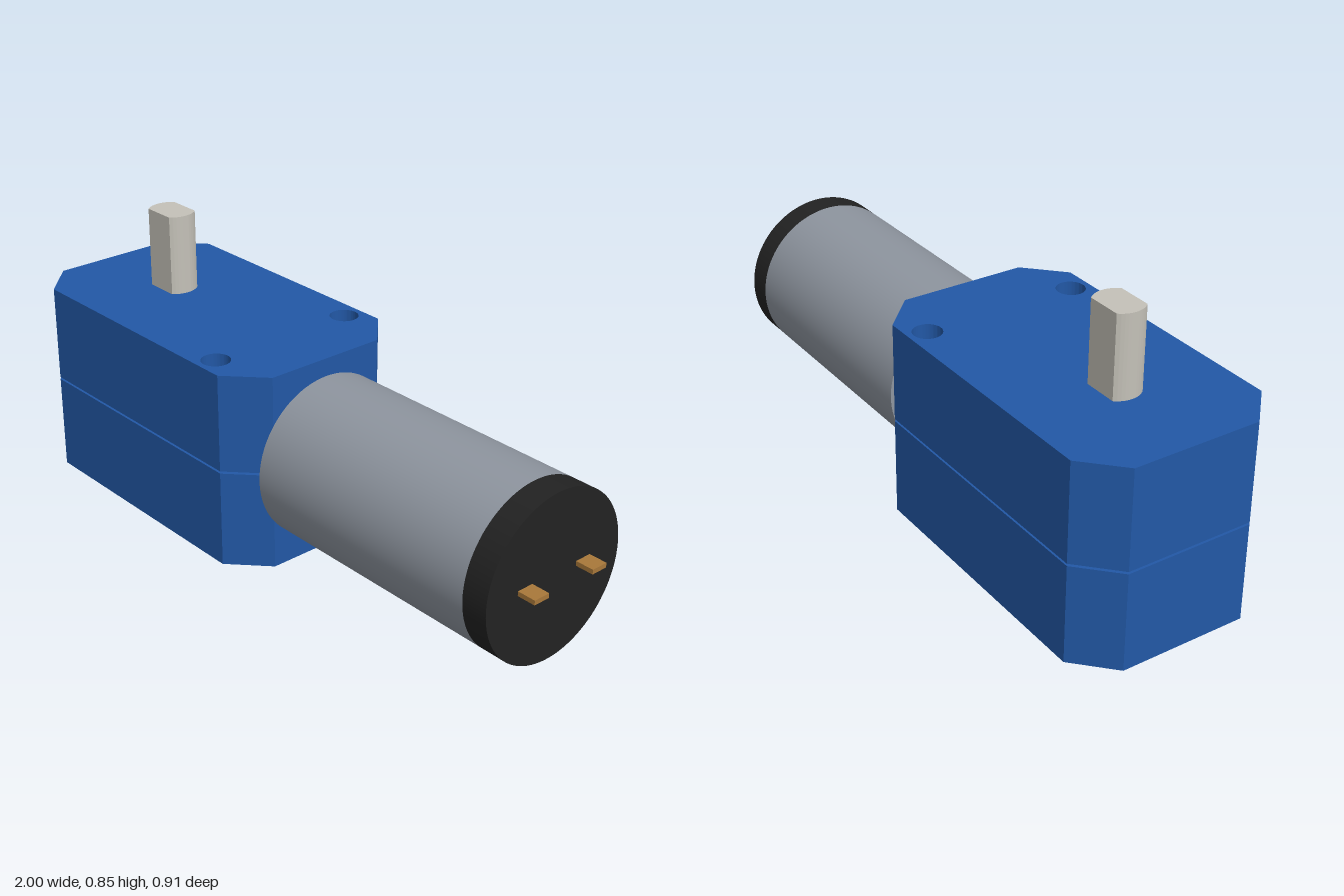
import * as THREE from 'three';
import { toCreasedNormals } from 'three/addons/utils/BufferGeometryUtils.js';

const material = (name, color) => Object.assign(new THREE.MeshStandardMaterial({ color }), { name });

export function createModel() {
  const blue = material('blue housing', 0x2258a6);
  const steel = material('grey motor steel', 0x8e959f);
  const black = material('black plastic', 0x222222);
  const shaftMetal = material('pale shaft metal', 0xc4c1b8);
  const brass = material('brass', 0xa8783a);

  const model = new THREE.Group();
  model.name = 'gearMotor';
  // The long axis is local x, turned slightly towards the front
  model.position.set(-0.003, 0, 0.0147);
  model.rotation.y = THREE.MathUtils.degToRad(-12);

  const add = (name, geometry, mat, x, y, z) => {
    const mesh = new THREE.Mesh(geometry, mat);
    mesh.name = name;
    mesh.position.set(x, y, z);
    model.add(mesh);
  };
  // Extrude a plan outline upwards
  const extrudeUp = (shape, depth) => toCreasedNormals(
    new THREE.ExtrudeGeometry(shape, { depth, bevelEnabled: false, curveSegments: 32 }).rotateX(-Math.PI / 2), 0.5);

  // Housing: two chamfered halves with a narrow gap and two through holes
  const L = 0.52, W = 0.3, l = 0.41, w = 0.194;
  const outline = new THREE.Shape([
    [L, -w], [L, w], [l, W], [-l, W], [-L, w], [-L, -w], [-l, -W], [l, -W],
  ].map(([x, y]) => new THREE.Vector2(x, y)));
  for (const side of [-1, 1]) {
    outline.holes.push(new THREE.Path().absarc(0.326, side * 0.24, 0.043, 0, Math.PI * 2, true));
  }
  add('lowerHousing', extrudeUp(outline, 0.2985), blue, -0.458, 0, 0);
  add('upperHousing', extrudeUp(outline, 0.2985), blue, -0.458, 0.3055, 0);

  // Output shaft: round with two flats
  const r = 0.071, a = Math.asin(0.048 / r);
  const section = new THREE.Shape();
  section.absarc(0, 0, r, -a, a, false);
  section.absarc(0, 0, r, Math.PI - a, Math.PI + a, false);
  section.closePath();
  add('outputShaft', extrudeUp(section, 0.252), shaftMetal, -0.65, 0.599, 0);

  // Motor can and end cap
  const cylinder = (length) => new THREE.CylinderGeometry(0.247, 0.247, length, 96).rotateZ(-Math.PI / 2);
  add('motorCan', cylinder(0.793), steel, 0.4595, 0.303, 0);
  add('motorEndCap', cylinder(0.08), black, 0.896, 0.303, 0);

  // Electrical terminals
  for (const side of [-1, 1]) {
    add(side > 0 ? 'frontTerminal' : 'backTerminal',
      new THREE.BoxGeometry(0.065, 0.014, 0.052), brass, 0.9595, 0.31, side * 0.108);
  }

  const root = new THREE.Group();
  root.name = 'rightAngleGearMotor';
  root.add(model);
  return root;
}
